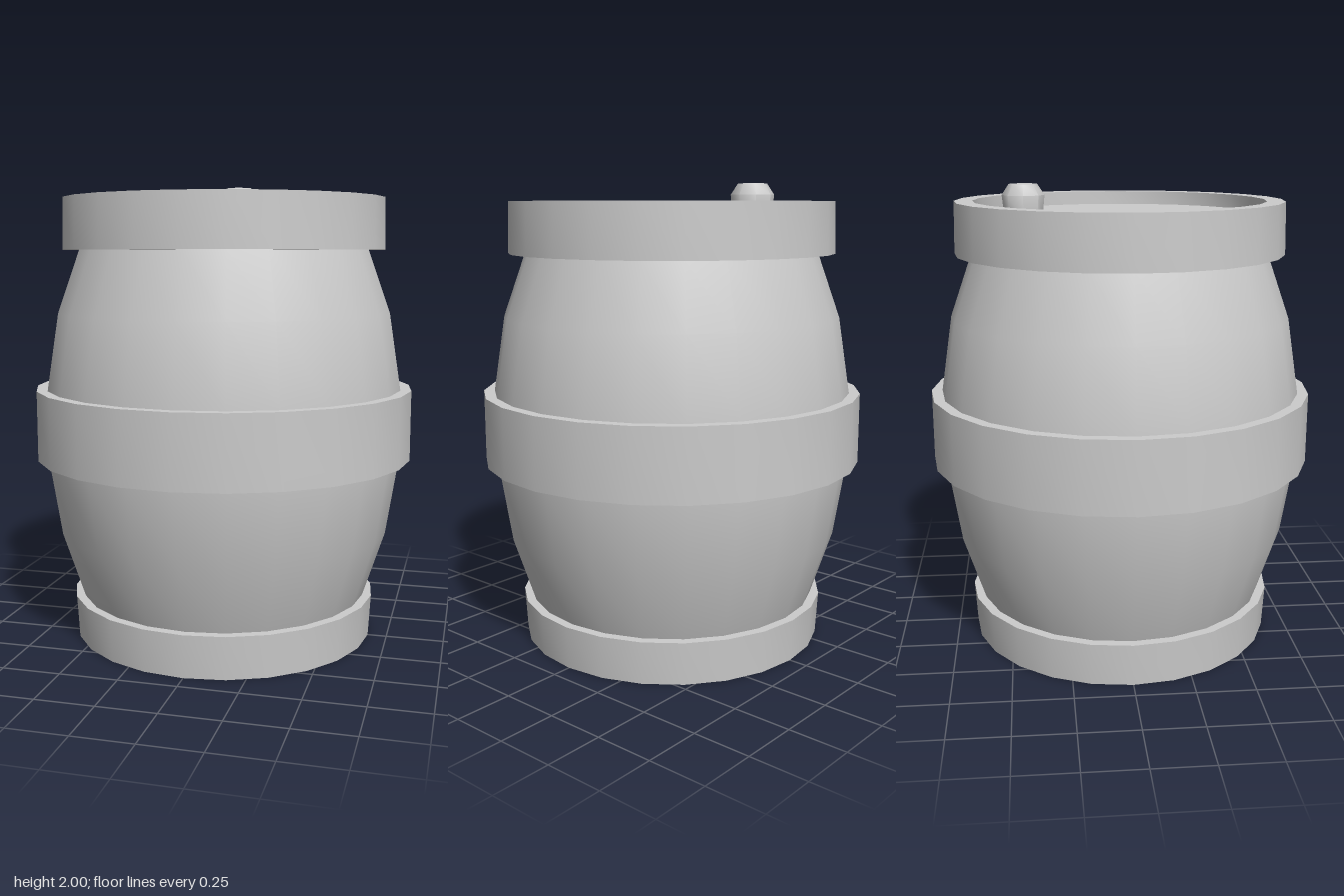
import * as THREE from 'three';
import { toCreasedNormals } from 'three/addons/utils/BufferGeometryUtils.js';

const material = new THREE.MeshStandardMaterial({ color: 0xcccccc });

// Turned part: profile of [radius, height] pairs, running up the outside
function turned(name, profile, sides = 24) {
  const points = profile.map(([r, y]) => new THREE.Vector2(r, y));
  const geometry = toCreasedNormals(new THREE.LatheGeometry(points, sides), 0.8);
  const mesh = new THREE.Mesh(geometry, material);
  mesh.name = name;
  return mesh;
}

export function createModel() {
  const barrel = new THREE.Group();
  barrel.name = 'barrel';

  // Bulging staves, hidden at both ends by the hoops
  barrel.add(turned('staves', [
    [0.575, 0.02], [0.64, 0.19], [0.733, 0.475], [0.785, 0.805],
    [0.785, 1.11], [0.733, 1.44], [0.637, 1.71], [0.6, 1.82],
  ]));

  // Bottom hoop closed by the flat base
  barrel.add(turned('bottomHoop', [
    [0, 0], [0.667, 0], [0.678, 0.185], [0.63, 0.185],
  ]));

  // Wide hoop around the belly
  barrel.add(turned('middleHoop', [
    [0.78, 0.805], [0.832, 0.805], [0.832, 1.11], [0.78, 1.11],
  ]));

  // Top hoop with its raised rim and recessed lid
  barrel.add(turned('topHoop', [
    [0.62, 1.71], [0.708, 1.71], [0.703, 1.93], [0.625, 1.93], [0.625, 1.87],
  ]));
  barrel.add(turned('lid', [[0.63, 1.87], [0, 1.87]]));

  // Chamfered stopper near the back of the lid
  const stopper = turned('stopper', [
    [0.08, 1.86], [0.09, 1.955], [0.06, 2], [0, 2],
  ], 8);
  stopper.position.set(-0.03, 0, -0.41);
  barrel.add(stopper);

  return barrel;
}
